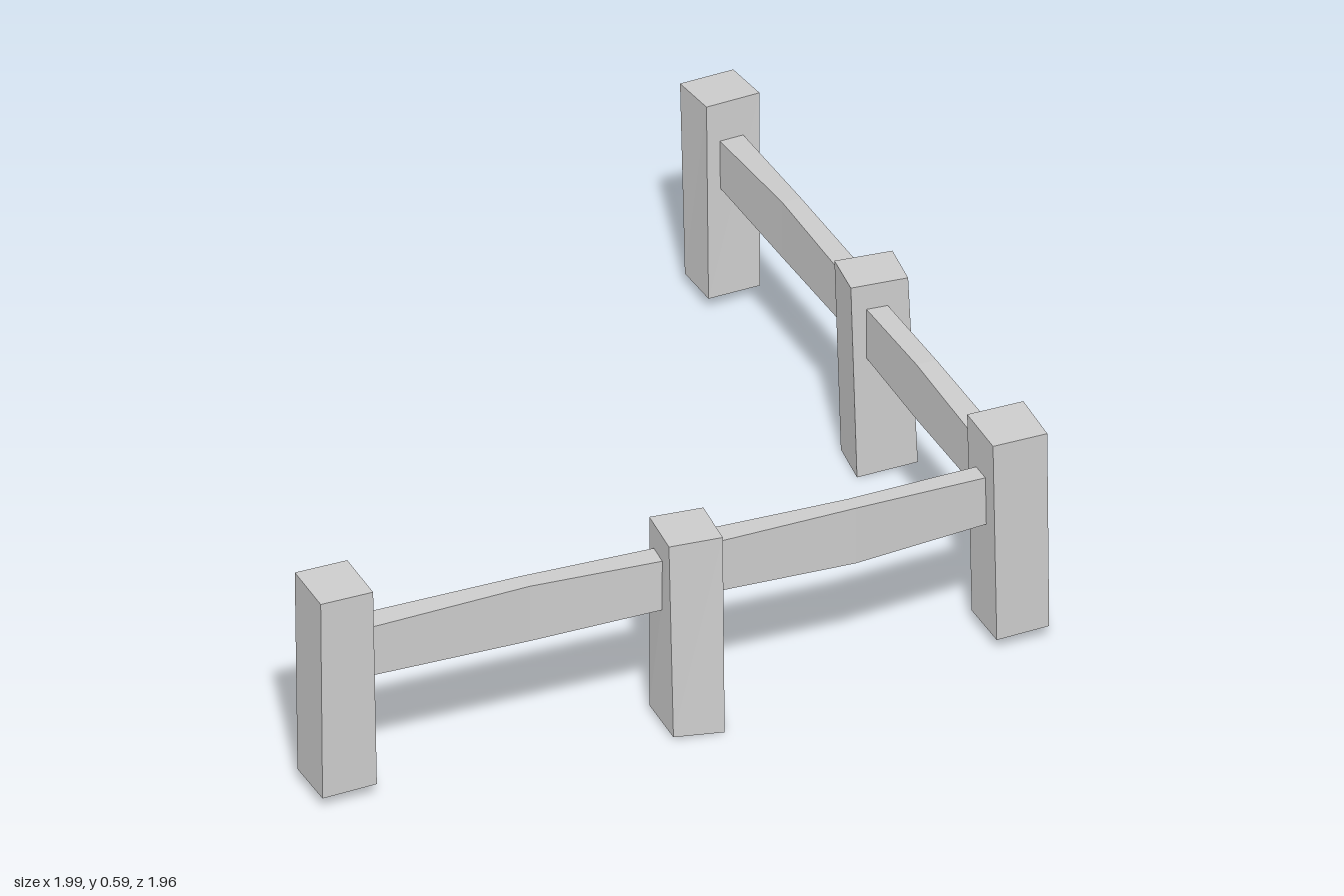
import * as THREE from 'three';

const material = new THREE.MeshStandardMaterial({ color: 0xcccccc, flatShading: true, side: THREE.DoubleSide });

// Skins four-cornered rings into a faceted solid; either end can be capped.
function loft(name, rings, capStart, capEnd) {
  const pos = [];
  const quad = (a, b, c, d) => pos.push(...a, ...b, ...c, ...a, ...c, ...d);
  for (let i = 0; i < rings.length - 1; i++) {
    const p = rings[i], q = rings[i + 1];
    for (let k = 0; k < 4; k++) {
      const n = (k + 1) % 4;
      quad(p[k], p[n], q[n], q[k]);
    }
  }
  if (capStart) quad(...[...rings[0]].reverse());
  if (capEnd) quad(...rings[rings.length - 1]);
  const geometry = new THREE.BufferGeometry();
  geometry.setAttribute('position', new THREE.Float32BufferAttribute(pos, 3));
  geometry.computeVertexNormals();
  const mesh = new THREE.Mesh(geometry, material);
  mesh.name = name;
  return mesh;
}

// Post: top and bottom corners as [x, z], in order front-left, front-right,
// back-right, back-left, with a height per corner. The underside is open.
function post(name, bottom, bottomY, top, topY) {
  const ring = (c, y) => c.map(([x, z], i) => [x, y[i], z]);
  return loft(name, [ring(bottom, bottomY), ring(top, topY)], false, true);
}

// Rail: stations [along, side0, side1, yBottom, yTop] running along x or along -z.
function rail(name, axis, stations) {
  const rings = stations.map(([t, s0, s1, y0, y1]) => axis === 'x'
    ? [[t, y0, s0], [t, y0, s1], [t, y1, s1], [t, y1, s0]].reverse()
    : [[s0, y0, t], [s0, y1, t], [s1, y1, t], [s1, y0, t]].reverse());
  return loft(name, rings, true, true);
}

export function createModel() {
  const group = new THREE.Group();
  group.name = 'cornerFence';

  // Posts
  group.add(
    post('leftEndPost',
      [[-0.99, 0.9], [-0.845, 0.9], [-0.845, 0.75], [-0.99, 0.75]], [0.035, 0.04, 0.04, 0.035],
      [[-0.995, 0.9], [-0.855, 0.9], [-0.855, 0.745], [-0.995, 0.745]], [0.593, 0.593, 0.597, 0.597]),
    post('cornerPost',
      [[0.81, 0.9], [0.95, 0.9], [0.955, 0.75], [0.81, 0.75]], [0.035, 0.04, 0.04, 0.035],
      [[0.8, 0.9], [0.945, 0.9], [0.95, 0.745], [0.8, 0.745]], [0.593, 0.593, 0.597, 0.597]),
    post('frontMiddlePost',
      [[-0.08, 0.96], [0.05, 0.975], [0.06, 0.82], [-0.075, 0.805]], [0.015, 0.005, 0.008, 0.018],
      [[-0.083, 0.94], [0.055, 0.953], [0.068, 0.807], [-0.07, 0.793]], [0.55, 0.55, 0.55, 0.55]),
    post('sideMiddlePost',
      [[0.825, 0.03], [0.983, 0.04], [0.995, -0.09], [0.84, -0.1]], [0.005, 0.015, 0.018, 0.008],
      [[0.81, 0.027], [0.957, 0.04], [0.973, -0.09], [0.825, -0.105]], [0.55, 0.55, 0.55, 0.55]),
    post('backEndPost',
      [[0.81, -0.825], [0.95, -0.83], [0.945, -0.96], [0.805, -0.955]], [0.037, 0.037, 0.037, 0.037],
      [[0.81, -0.837], [0.955, -0.845], [0.945, -0.98], [0.8, -0.973]], [0.58, 0.58, 0.573, 0.573]),
  );

  // Rails
  group.add(
    rail('frontLeftRail', 'x', [
      [-0.87, 0.815, 0.885, 0.345, 0.483],
      [-0.43, 0.83, 0.882, 0.335, 0.492],
      [-0.04, 0.828, 0.893, 0.342, 0.48]]),
    rail('frontRightRail', 'x', [
      [0.03, 0.825, 0.893, 0.36, 0.5],
      [0.44, 0.838, 0.885, 0.34, 0.498],
      [0.83, 0.79, 0.847, 0.34, 0.472]]),
    rail('sideFrontRail', 'z', [
      [0.77, 0.847, 0.91, 0.345, 0.483],
      [0.33, 0.85, 0.903, 0.335, 0.492],
      [0.0, 0.85, 0.905, 0.342, 0.48]]),
    rail('sideBackRail', 'z', [
      [-0.07, 0.85, 0.908, 0.36, 0.5],
      [-0.48, 0.853, 0.903, 0.34, 0.498],
      [-0.86, 0.845, 0.91, 0.34, 0.472]]),
  );
  return group;
}
